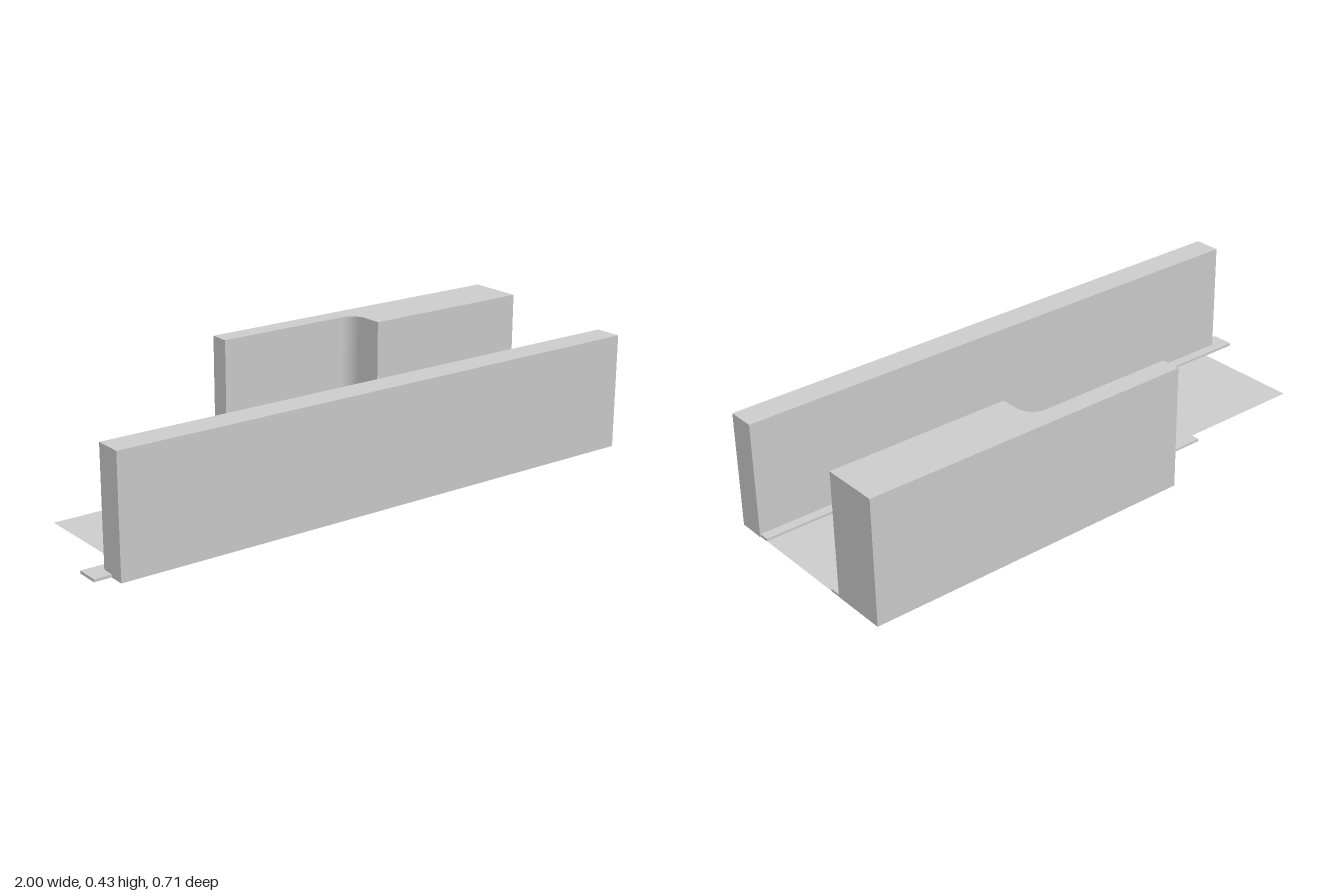
import * as THREE from 'three';

const material = new THREE.MeshStandardMaterial({ color: 0xcccccc, flatShading: true });

// Box given by its limits on each axis
function block(name, [x0, x1], [y0, y1], [z0, z1]) {
  const mesh = new THREE.Mesh(new THREE.BoxGeometry(x1 - x0, y1 - y0, z1 - z0), material);
  mesh.position.set((x0 + x1) / 2, (y0 + y1) / 2, (z0 + z1) / 2);
  mesh.name = name;
  return mesh;
}

export function createModel() {
  const group = new THREE.Group();
  group.name = 'channel';

  // Long front wall and the low strips along both edges of the floor
  group.add(
    block('frontWall', [-0.942, 1], [0, 0.393], [0.26, 0.353]),
    block('frontStrip', [-1, 0.998], [0.001, 0.01], [0.225, 0.302]),
    block('backStrip', [-0.417, 0.998], [0.002, 0.01], [-0.2, -0.121])
  );

  // Paper-thin floor
  const floorMaterial = material.clone();
  floorMaterial.side = THREE.DoubleSide;
  const floor = new THREE.Mesh(new THREE.PlaneGeometry(1.873, 0.42), floorMaterial);
  floor.name = 'floor';
  floor.rotation.x = -Math.PI / 2;
  floor.position.set(0.0615, 0.002, 0.05);
  group.add(floor);

  // Back wall: thick block with a thin arm, joined by a rounded inner corner (plan drawn as x, -z)
  const plan = new THREE.Shape();
  plan.moveTo(-0.157, 0.353);
  plan.lineTo(-0.157, 0.285);
  plan.lineTo(0.32, 0.285);
  plan.absarc(0.32, 0.225, 0.06, Math.PI / 2, 0, true);
  plan.lineTo(0.38, 0.162);
  plan.lineTo(1, 0.162);
  plan.lineTo(1, 0.353);
  plan.closePath();
  const backWall = new THREE.Mesh(
    new THREE.ExtrudeGeometry(plan, { depth: 0.423, bevelEnabled: false, curveSegments: 12 }),
    material
  );
  backWall.name = 'backWall';
  backWall.rotation.x = -Math.PI / 2;
  backWall.position.y = 0.004;
  group.add(backWall);

  return group;
}
